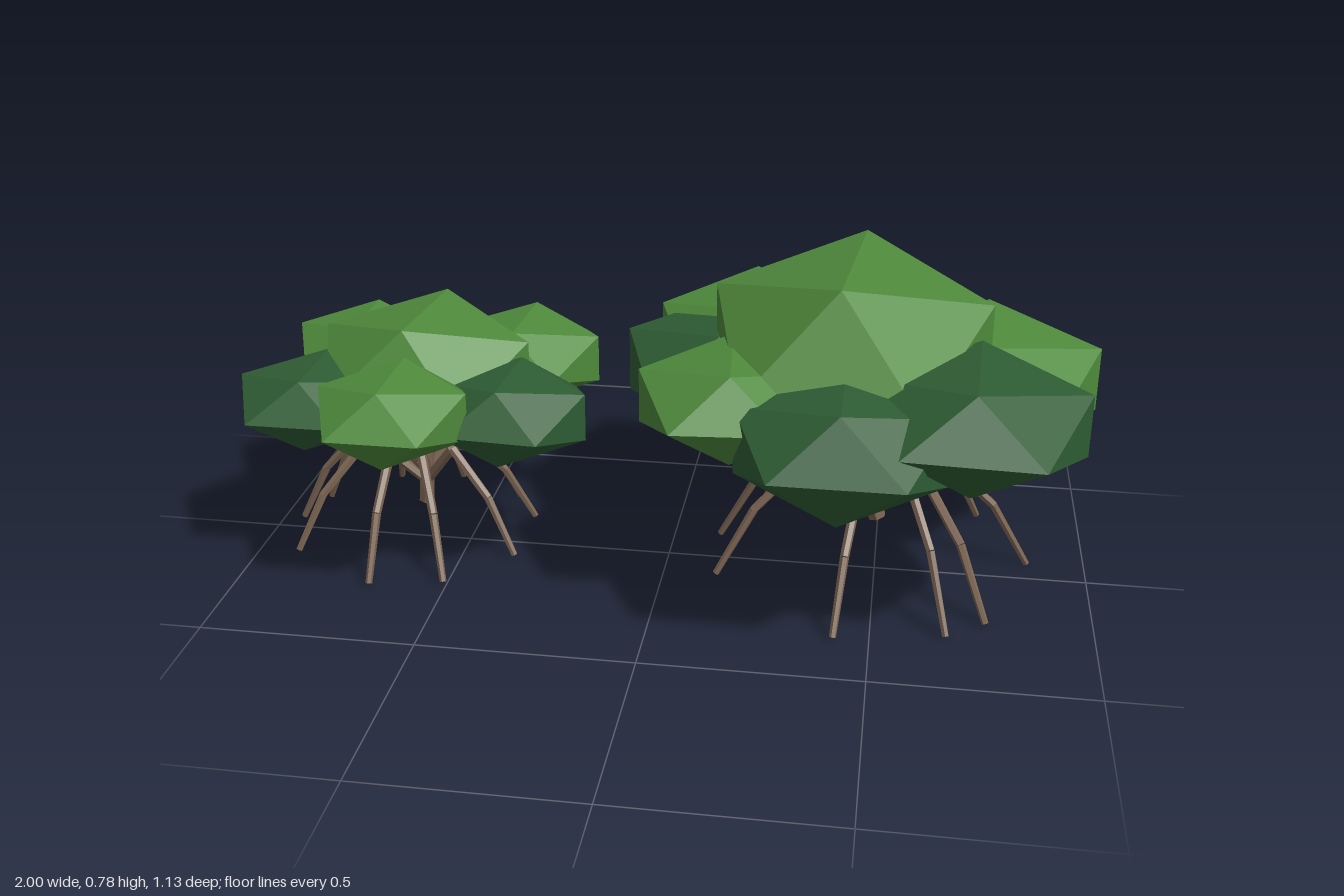
import * as THREE from 'three';

const mat = (color) => new THREE.MeshStandardMaterial({ color, flatShading: true });
const LIGHT = mat(0x4f8a3c), DARK = mat(0x2f5d34), BARK = mat(0x7b6452);

// Clumps: [shade, x, y, z, radius x, radius y, radius z, turn]; the first is the crown
// Roots: directions in degrees around the root centre, from +x towards +z
const LARGE = {
  name: 'largeTree', base: [0.5, 0.12, -0.04], top: [0.4, 0.42, -0.03], thick: 0.022,
  rootCentre: [0.485, -0.035], reach: 0.38, arch: 0.3,
  roots: [-5, 44, 61, 100, 161, 192, 221, 250, 280, 314],
  clumps: [
    [LIGHT, 0.42, 0.56, -0.005, 0.37, 0.258, 0.41, -0.09],
    [DARK, 0.7, 0.53, 0.265, 0.28, 0.135, 0.297, -0.05],
    [DARK, 0.42, 0.485, 0.36, 0.27, 0.147, 0.24, 0],
    [LIGHT, 0.17, 0.52, 0.215, 0.24, 0.12, 0.245, 0.08],
    [LIGHT, 0.735, 0.45, -0.185, 0.31, 0.148, 0.31, -0.03],
    [LIGHT, 0.175, 0.49, -0.245, 0.265, 0.145, 0.3, 0.05],
    [DARK, 0.12, 0.46, -0.12, 0.275, 0.15, 0.28, 0],
    [DARK, 0.49, 0.475, -0.345, 0.27, 0.142, 0.25, 0.03],
  ],
};
const SMALL = {
  name: 'smallTree', base: [-0.62, 0.08, -0.04], top: [-0.6, 0.36, -0.04], thick: 0.019,
  rootCentre: [-0.65, -0.04], reach: 0.3, arch: 0.265,
  roots: [22, 62, 96, 147, 182, 206, 246, 278, 317, 341],
  clumps: [
    [LIGHT, -0.59, 0.437, -0.03, 0.3, 0.185, 0.28, -0.1],
    [LIGHT, -0.587, 0.458, 0.27, 0.2, 0.107, 0.205, 0],
    [DARK, -0.82, 0.415, 0.125, 0.21, 0.1, 0.2, 0],
    [DARK, -0.35, 0.42, 0.14, 0.21, 0.108, 0.205, -0.06],
    [LIGHT, -0.79, 0.43, -0.18, 0.2, 0.1, 0.2, 0],
    [LIGHT, -0.385, 0.435, -0.18, 0.218, 0.11, 0.21, -0.06],
    [DARK, -0.645, 0.38, -0.3, 0.21, 0.115, 0.215, 0.05],
  ],
};

// Icosahedron turned so that its top edge runs along z
const clumpGeometry = new THREE.IcosahedronGeometry(1, 0).rotateY(Math.PI / 2);

function addClump(parent, [material, x, y, z, rx, ry, rz, turn]) {
  const mesh = new THREE.Mesh(clumpGeometry, material);
  mesh.name = 'leafClump';
  mesh.position.set(x, y, z);
  mesh.scale.set(rx, ry, rz);
  mesh.rotation.y = turn;
  parent.add(mesh);
}

// Tapered stick between two points
function addStick(parent, name, a, b, ra, rb) {
  const dir = b.clone().sub(a);
  const mesh = new THREE.Mesh(new THREE.CylinderGeometry(rb, ra, dir.length(), 6), BARK);
  mesh.name = name;
  mesh.position.copy(a).lerp(b, 0.5);
  mesh.quaternion.setFromUnitVectors(new THREE.Vector3(0, 1, 0), dir.normalize());
  parent.add(mesh);
}

function buildTree({ name, base, top, thick, rootCentre, reach, arch, roots, clumps }) {
  const group = new THREE.Group();
  group.name = name;

  const canopy = new THREE.Group();
  canopy.name = 'canopy';
  clumps.forEach((clump) => addClump(canopy, clump));
  group.add(canopy);

  const low = new THREE.Vector3(...base), high = new THREE.Vector3(...top);
  addStick(group, 'trunk', low, high, thick, thick * 0.85);

  // Stilt roots leave the trunk, rise over a knee and drop to the ground
  const radii = [0.013, 0.012, 0.0105, 0.008];
  roots.forEach((degrees, i) => {
    const root = new THREE.Group();
    root.name = 'stiltRoot';
    const angle = THREE.MathUtils.degToRad(degrees);
    const out = (f, y) => new THREE.Vector3(
      rootCentre[0] + Math.cos(angle) * reach * f, y, rootCentre[1] + Math.sin(angle) * reach * f);
    const start = low.clone().lerp(high, 0.2 + 0.1 * (i % 4));
    const knee = arch * (0.94 + 0.04 * (i % 3));
    const path = [start, out(0.42, knee), out(0.76, knee * 0.57), out(1, 0.004)];
    for (let k = 0; k < 3; k++) addStick(root, 'rootSegment', path[k], path[k + 1], radii[k], radii[k + 1]);
    group.add(root);
  });
  return group;
}

export function createModel() {
  const model = new THREE.Group();
  model.name = 'mangroveTrees';
  model.add(buildTree(LARGE), buildTree(SMALL));
  return model;
}
